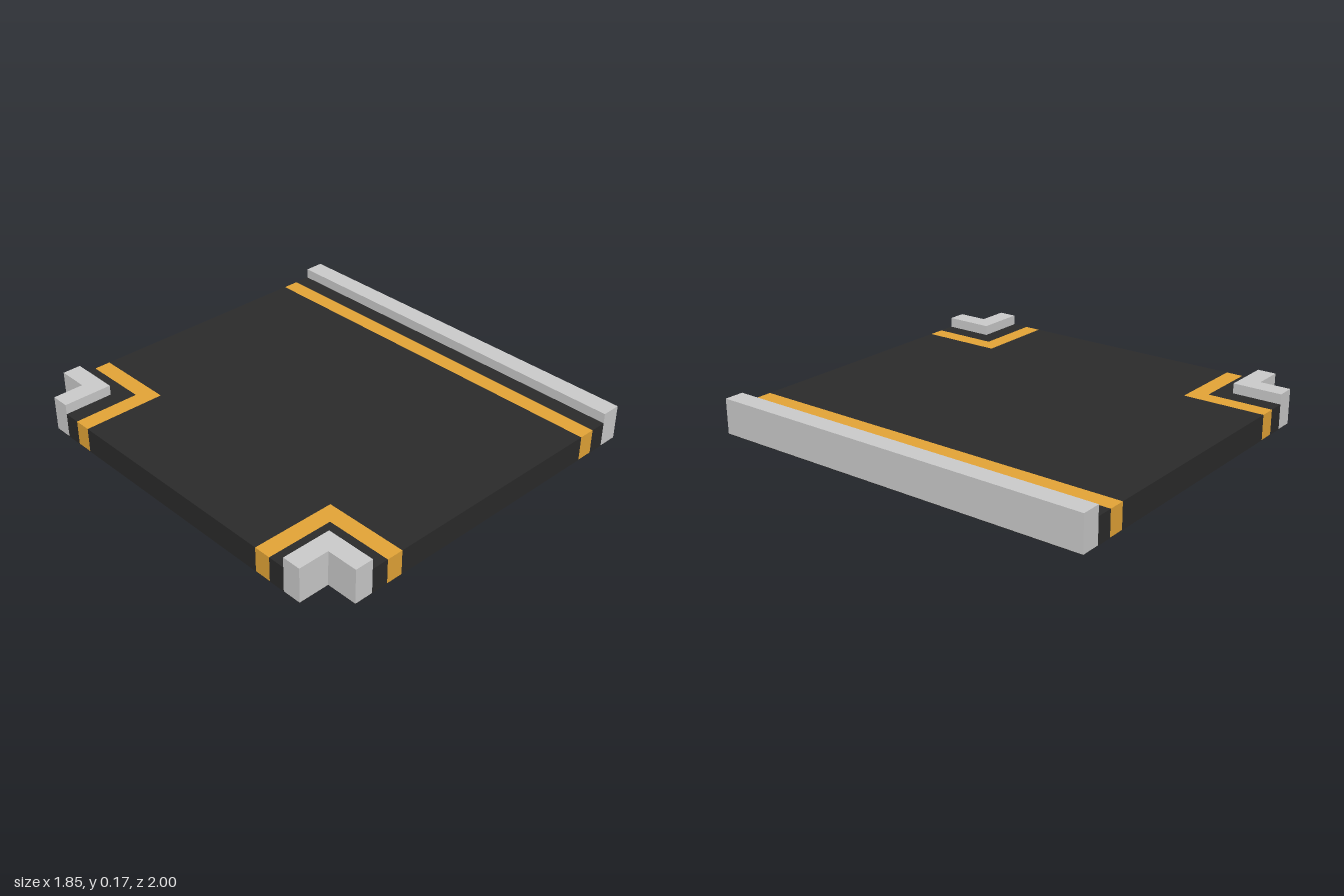
import * as THREE from 'three';

const BASE = 0.002, ROAD = 0.125, KERB = 0.175;
const EDGE = 0.923;

export function createModel() {
  const group = new THREE.Group();
  const asphalt = new THREE.MeshStandardMaterial({ color: 0x2b2b2b });
  const paint = new THREE.MeshStandardMaterial({ color: 0xe4a537 });
  const stone = new THREE.MeshStandardMaterial({ color: 0xcccccc });

  // Upright prism over a plan outline of [x, z] corners
  function prism(name, outline, y0, y1, material) {
    const shape = new THREE.Shape(outline.map(([x, z]) => new THREE.Vector2(x, -z)));
    const geometry = new THREE.ExtrudeGeometry(shape, { depth: y1 - y0, bevelEnabled: false });
    geometry.rotateX(-Math.PI / 2).translate(0, y0, 0);
    const mesh = new THREE.Mesh(geometry, material);
    mesh.name = name;
    group.add(mesh);
  }

  const strip = (x0, x1) => [[x0, -1], [x1, -1], [x1, 1], [x0, 1]];

  // L-shaped band round a corner on the -x side; s picks the front or back
  const corner = (s, xOut, xIn, zOut, zIn) => [
    [xOut, s], [xIn, s], [xIn, s * zIn], [-EDGE, s * zIn], [-EDGE, s * zOut], [xOut, s * zOut],
  ];

  // Thin underside with two notched corners
  prism('underside', [
    [-0.768, -1], [EDGE, -1], [EDGE, 1], [-0.768, 1], [-0.768, 0.845],
    [-EDGE, 0.845], [-EDGE, -0.845], [-0.768, -0.845],
  ], 0, BASE, asphalt);

  // Main road surface, reaching the -x edge between the two corners
  prism('roadSurface', [
    [-0.507, -1], [0.658, -1], [0.658, 1], [-0.507, 1], [-0.507, 0.583],
    [-EDGE, 0.583], [-EDGE, -0.583], [-0.507, -0.583],
  ], BASE, ROAD, asphalt);

  // Straight side
  prism('straightLine', strip(0.658, 0.742), BASE, ROAD, paint);
  prism('straightGutter', strip(0.742, 0.825), BASE, ROAD, asphalt);
  prism('straightKerb', strip(0.825, EDGE), BASE, KERB, stone);

  // Front and back corners
  for (const [s, side] of [[1, 'front'], [-1, 'back']]) {
    prism(side + 'CornerLine', corner(s, -0.59, -0.507, 0.668, 0.583), BASE, ROAD, paint);
    prism(side + 'CornerGutter', corner(s, -0.675, -0.59, 0.752, 0.668), BASE, ROAD, asphalt);
    prism(side + 'CornerKerb', corner(s, -0.768, -0.675, 0.845, 0.752), BASE, KERB, stone);
  }
  return group;
}
